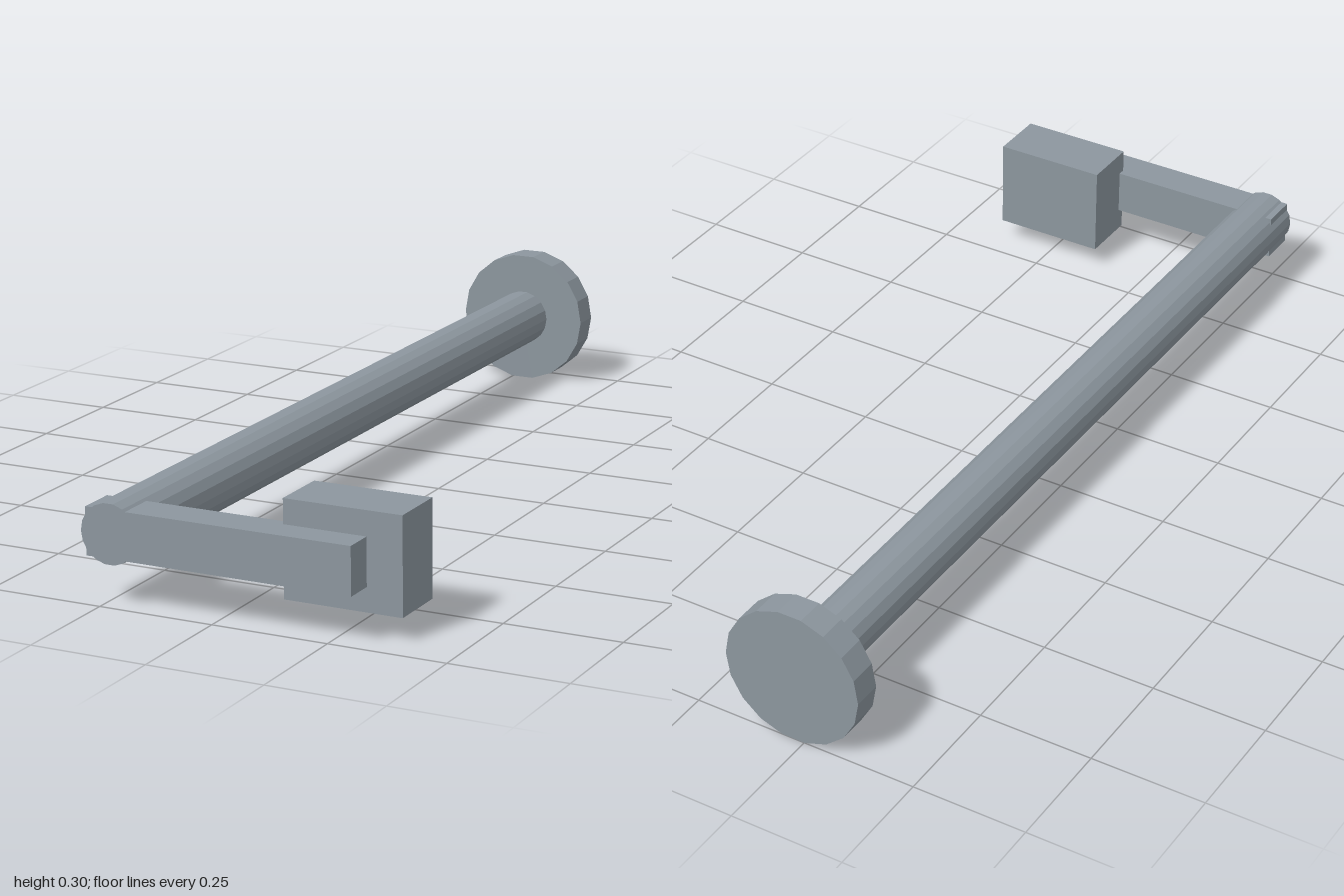
import * as THREE from 'three';

const AXIS_X = -0.225, AXIS_Y = 0.151;

export function createModel() {
  const model = new THREE.Group();
  model.name = 'wallRail';
  const metal = new THREE.MeshStandardMaterial({ color: 0x8c969e, flatShading: true });
  metal.name = 'brushed grey metal';

  const add = (name, geometry, x, y, z) => {
    const mesh = new THREE.Mesh(geometry, metal);
    mesh.name = name;
    mesh.position.set(x, y, z);
    model.add(mesh);
  };

  // 18-sided cylinder along z, with corners at its left and right
  const rod = (name, radius, z0, z1) => {
    const g = new THREE.CylinderGeometry(radius, radius, z1 - z0, 18, 1, false, Math.PI / 2);
    add(name, g.rotateX(Math.PI / 2), AXIS_X, AXIS_Y, (z0 + z1) / 2);
  };

  // Box given by its extents on each axis
  const box = (name, [x0, x1], [y0, y1], [z0, z1]) =>
    add(name, new THREE.BoxGeometry(x1 - x0, y1 - y0, z1 - z0),
      (x0 + x1) / 2, (y0 + y1) / 2, (z0 + z1) / 2);

  rod('mountingDisc', 0.153, -1, -0.936);
  rod('rail', 0.063, -0.936, 1);
  box('arm', [-0.277, 0.301], [0.101, 0.201], [0.918, 1]);
  box('endBlock', [0.123, 0.377], [0.05, 0.253], [0.807, 0.935]);

  return model;
}
